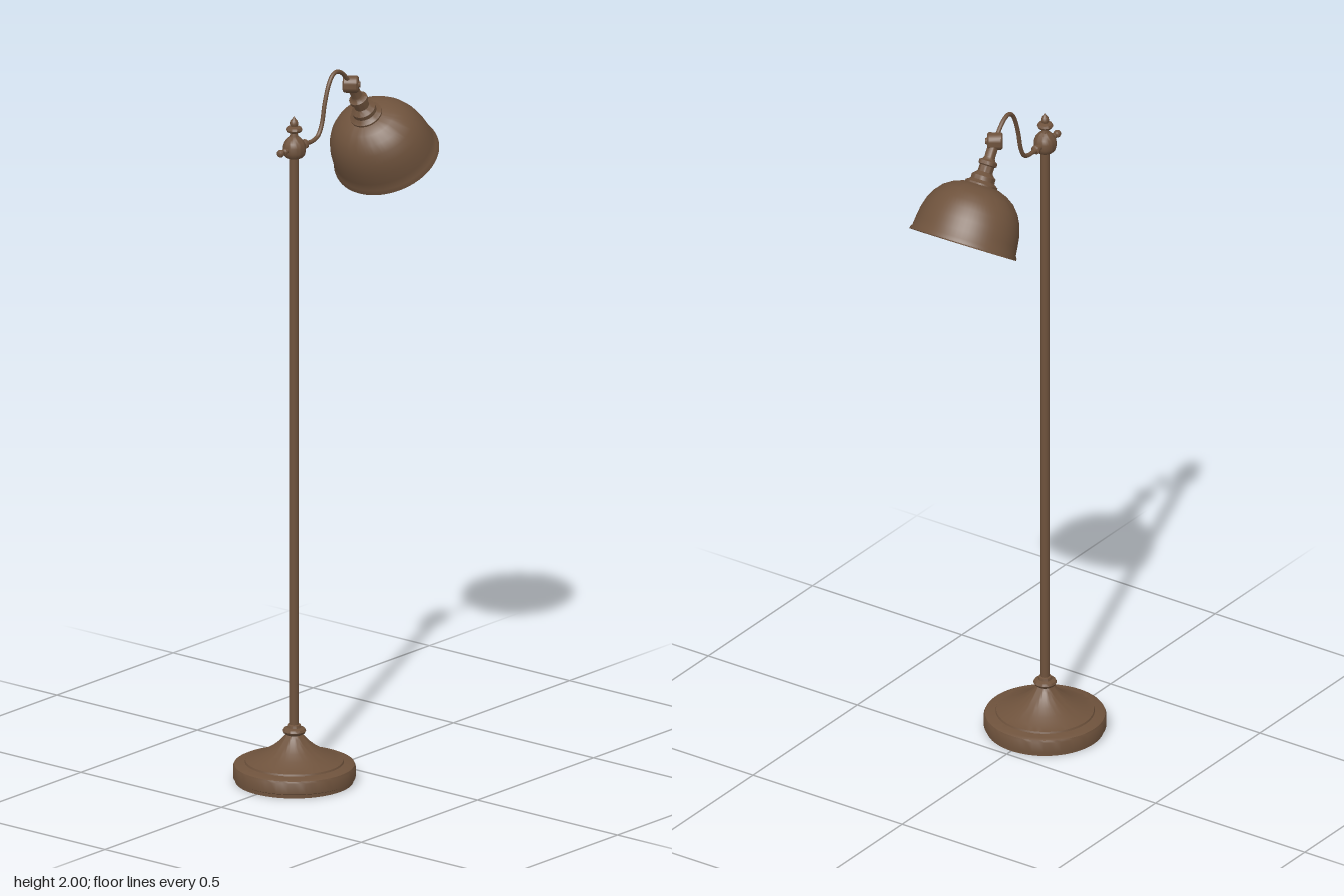
import * as THREE from 'three';
import { toCreasedNormals } from 'three/addons/utils/BufferGeometryUtils.js';

export function createModel() {
  const bronze = new THREE.MeshStandardMaterial({ color: 0x6e523c });
  bronze.name = 'agedBronze';

  const lamp = new THREE.Group();
  lamp.name = 'floorLamp';
  const stand = new THREE.Group();
  stand.name = 'stand';
  stand.position.x = -0.185;
  lamp.add(stand);

  const add = (parent, name, geometry) => {
    const mesh = new THREE.Mesh(geometry, bronze);
    mesh.name = name;
    parent.add(mesh);
    return mesh;
  };
  // Turned part: [radius, height] pairs from bottom to top
  const turned = (parent, name, profile, segments = 48) => add(parent, name, toCreasedNormals(
    new THREE.LatheGeometry(profile.map(([r, y]) => new THREE.Vector2(r, y)), segments), 0.6));

  // Weighted foot with a stepped rim and a flared top
  turned(stand, 'base', [
    [0, 0], [0.163, 0], [0.163, 0.01], [0.169, 0.013], [0.169, 0.043], [0.166, 0.049], [0.158, 0.053],
    [0.137, 0.055], [0.135, 0.06], [0.115, 0.068], [0.09, 0.08], [0.065, 0.095], [0.045, 0.111],
    [0.031, 0.126], [0.024, 0.135], [0.03, 0.139], [0.033, 0.145], [0.03, 0.151], [0.02, 0.155],
    [0.018, 0.162], [0.013, 0.164],
  ], 64);

  const pole = add(stand, 'pole', new THREE.CylinderGeometry(0.0135, 0.0135, 1.66, 24, 1, true));
  pole.position.y = 0.98;

  // Hub and finial above the pole
  turned(stand, 'hubAndFinial', [
    [0.0, 1.797], [0.024, 1.797], [0.03, 1.804], [0.032, 1.812], [0.032, 1.828], [0.028, 1.84],
    [0.02, 1.85], [0.012, 1.856], [0.01, 1.866], [0.02, 1.87], [0.023, 1.876], [0.02, 1.882],
    [0.01, 1.886], [0.012, 1.893], [0.01, 1.901], [0.004, 1.908], [0, 1.915],
  ], 32);

  // Everything that swings round the pole
  const swing = new THREE.Group();
  swing.name = 'swingArm';
  swing.rotation.y = 0.039;
  stand.add(swing);

  // Clamping screw on one side, arm collar on the other
  const screw = turned(swing, 'clampScrew', [
    [0, 0], [0.006, 0], [0.006, 0.039], [0.009, 0.041], [0.009, 0.046], [0.005, 0.049],
    [0.005, 0.054], [0.009, 0.057], [0.011, 0.063], [0.009, 0.069], [0.004, 0.072], [0, 0.073],
  ], 20);
  screw.position.y = 1.822;
  screw.rotation.z = Math.PI / 2;
  const collar = turned(swing, 'armCollar', [
    [0, 0], [0.009, 0], [0.009, 0.042], [0.013, 0.044], [0.013, 0.051], [0.009, 0.054], [0.007, 0.062], [0, 0.062],
  ], 20);
  collar.position.y = 1.822;
  collar.rotation.z = -Math.PI / 2;

  // Gooseneck arm
  const path = new THREE.CatmullRomCurve3([
    [0.045, 1.822], [0.085, 1.822], [0.108, 1.831], [0.125, 1.86], [0.138, 1.915], [0.155, 1.963],
    [0.172, 1.987], [0.19, 1.994], [0.213, 1.986], [0.238, 1.963], [0.256, 1.942],
  ].map(([x, y]) => new THREE.Vector3(x, y, 0)));
  add(swing, 'gooseneck', new THREE.TubeGeometry(path, 72, 0.006, 12));

  // Pivot joint
  const joint = turned(swing, 'pivotJoint', [
    [0, -0.021], [0.02, -0.021], [0.024, -0.017], [0.024, 0.017], [0.02, 0.021], [0.01, 0.021], [0.008, 0.026], [0, 0.026],
  ], 24);
  joint.position.set(0.256, 1.942, 0);
  joint.rotation.set(Math.PI / 2, 0, -0.55);

  // Tilted head, origin at the centre of the shade opening
  const head = new THREE.Group();
  head.name = 'lampHead';
  head.position.set(0.419, 1.693, 0);
  head.rotation.z = 0.577;
  swing.add(head);

  turned(head, 'socket', [
    [0, 0.168], [0.046, 0.168], [0.046, 0.175], [0.038, 0.18], [0.034, 0.184], [0.034, 0.196],
    [0.027, 0.202], [0.021, 0.208], [0.021, 0.226], [0.026, 0.229], [0.026, 0.239], [0.019, 0.243],
    [0.015, 0.25], [0.015, 0.285], [0, 0.285],
  ], 32);

  // Dome shade: inner wall down, rolled lip, outer wall up
  const shade = turned(head, 'shade', [
    [0, 0.166], [0.045, 0.165], [0.068, 0.155], [0.09, 0.14], [0.108, 0.118], [0.12, 0.093],
    [0.128, 0.065], [0.132, 0.035], [0.134, 0.014], [0.139, 0],
    [0.1425, 0], [0.1425, 0.005], [0.138, 0.013], [0.136, 0.035], [0.132, 0.066], [0.124, 0.096],
    [0.112, 0.121], [0.094, 0.144], [0.071, 0.16], [0.046, 0.17], [0, 0.172],
  ], 64);
  shade.scale.z = 1.095;

  return lamp;
}
